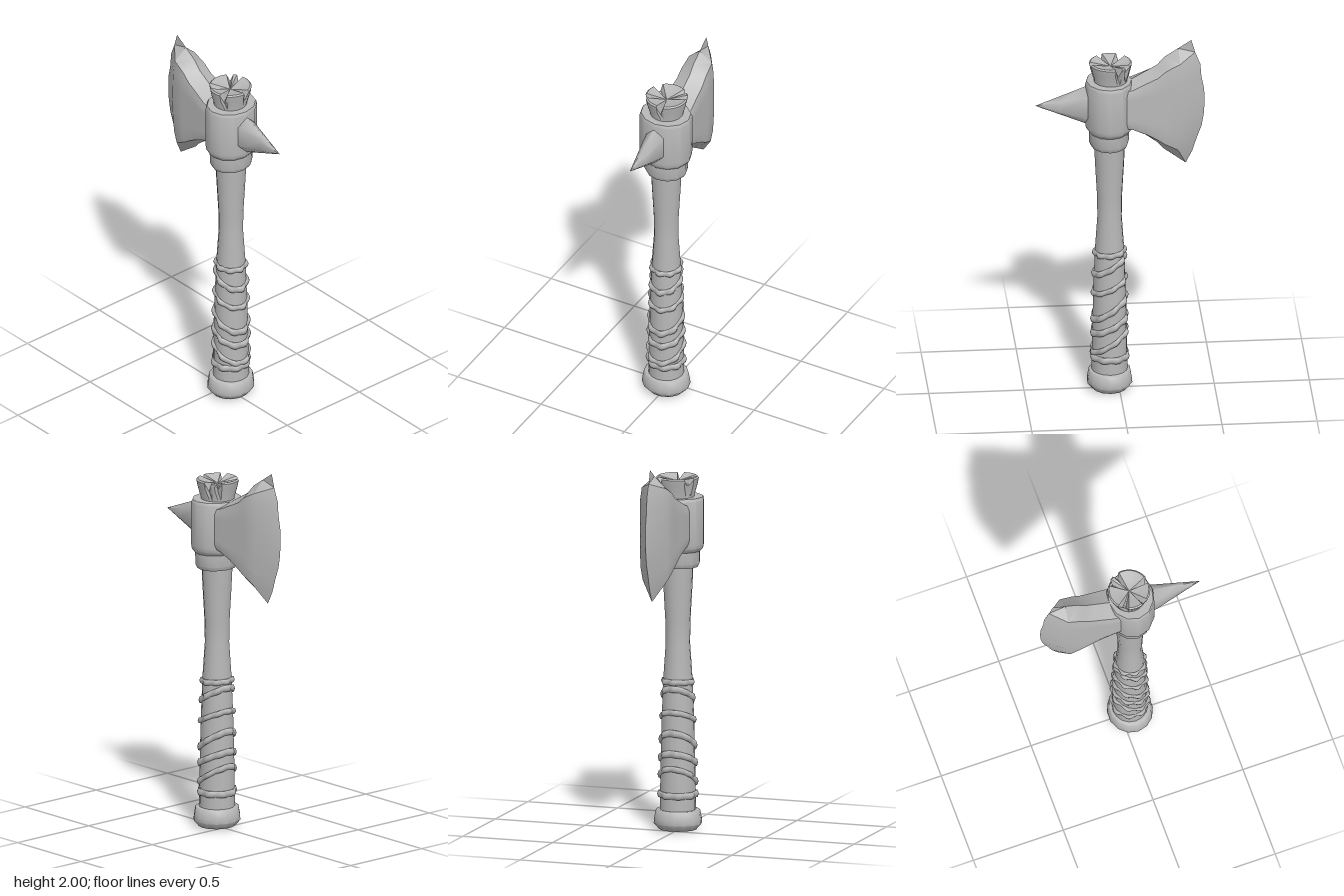
import * as THREE from 'three';
import { toCreasedNormals } from 'three/addons/utils/BufferGeometryUtils.js';

const AXIS = 0.05; // x of the shaft's centre line

// Shaft outline as [radius, height]
const SHAFT = [[0.095, 0.08], [0.092, 0.3], [0.085, 0.6], [0.076, 0.82], [0.064, 1.0], [0.066, 1.12], [0.076, 1.3], [0.082, 1.43]];

function shaftRadius(y) {
  for (let i = 1; i < SHAFT.length; i++) {
    const [r0, y0] = SHAFT[i - 1], [r1, y1] = SHAFT[i];
    if (y <= y1) return r0 + (r1 - r0) * (y - y0) / (y1 - y0);
  }
  return SHAFT[SHAFT.length - 1][0];
}

function lathe(profile, sides) {
  return new THREE.LatheGeometry(profile.map(([r, y]) => new THREE.Vector2(r, y)), sides);
}

function meshFrom(positions, indices) {
  const g = new THREE.BufferGeometry();
  g.setAttribute('position', new THREE.Float32BufferAttribute(positions, 3));
  g.setIndex(indices);
  return g;
}

// Axe blade: columns run from the socket to the cutting edge, mirrored front and back
function bladeGeometry() {
  // x at top, middle and bottom; y at top and bottom; half thickness
  const columns = [
    [0.00, 0.00, 0.00, 1.765, 1.52, 0.095],
    [-0.07, -0.07, -0.07, 1.79, 1.50, 0.094],
    [-0.14, -0.14, -0.14, 1.83, 1.46, 0.088],
    [-0.20, -0.20, -0.20, 1.865, 1.415, 0.084],
    [-0.24, -0.25, -0.23, 1.91, 1.38, 0.081],
    [-0.31, -0.33, -0.29, 1.955, 1.335, 0.075],
    [-0.38, -0.45, -0.35, 2.00, 1.29, 0],
  ];
  const rows = [-1, -0.8, -0.6, -0.4, -0.2, 0, 0.2, 0.4, 0.6, 0.8, 1];
  const nicks = { 2: 0.006, 7: 0.006, 8: -0.003, 9: 0.005 };
  const positions = [], indices = [], n = rows.length;
  for (const side of [1, -1]) {
    const start = positions.length / 3;
    columns.forEach(([xt, xm, xb, yt, yb, z], c) => {
      rows.forEach((t, r) => {
        let x = xm + ((t > 0 ? xt : xb) - xm) * t * t;
        if (c === columns.length - 1) x += nicks[r] || 0;
        const thick = z * Math.min(1, (1 - Math.abs(t)) / 0.22);
        positions.push(x, yb + (yt - yb) * (t + 1) / 2, side * thick);
      });
    });
    for (let c = 0; c < columns.length - 1; c++) {
      for (let r = 0; r < n - 1; r++) {
        const a = start + c * n + r, b = a + n, d = a + 1, e = b + 1;
        if (side > 0) indices.push(a, d, b, b, d, e);
        else indices.push(a, b, d, b, e, d);
      }
    }
  }
  return toCreasedNormals(meshFrom(positions, indices), 0.6);
}

// Leather strip: a tilted flat ring that sinks into the shaft here and there
function wrapGeometry(yLeft, yRight, height, phase) {
  const around = 48, section = 6, positions = [], indices = [];
  for (let i = 0; i < around; i++) {
    const a = i / around * Math.PI * 2;
    const y = (yLeft + yRight) / 2 + (yRight - yLeft) / 2 * Math.cos(a);
    const base = shaftRadius(y) - 0.001 + 0.006 * Math.cos(8 * a + phase);
    for (let j = 0; j < section; j++) {
      const b = j / section * Math.PI * 2;
      const r = base + 0.011 * Math.cos(b);
      positions.push(r * Math.cos(a), y + height / 2 * Math.sin(b), r * Math.sin(a));
      const k = (j + 1) % section, m = (i + 1) % around;
      const p = i * section + j, q = i * section + k, s = m * section + j, t = m * section + k;
      indices.push(p, q, s, q, t, s);
    }
  }
  const g = meshFrom(positions, indices);
  g.computeVertexNormals();
  return g;
}

// Split end of the shaft: a flared stub whose rim is notched by cracks
function stubGeometry() {
  const sides = 36;
  const g = lathe([[0.085, 1.74], [0.088, 1.79], [0.105, 1.85], [0.112, 1.885], [0.104, 1.892], [0.06, 1.88], [0, 1.865]], sides);
  const p = g.attributes.position;
  const cracks = [[1.72, 0.055], [-0.6, 0.03], [0.55, 0.05], [3.5, 0.045], [-2.2, 0.03]];
  for (let i = 0; i < p.count; i++) {
    const x = p.getX(i), y = p.getY(i), z = p.getZ(i), r = Math.hypot(x, z);
    if (y < 1.84 || r < 0.02) continue;
    const a = Math.atan2(x, z);
    for (const [angle, depth] of cracks) {
      const gap = Math.abs(Math.atan2(Math.sin(a - angle), Math.cos(a - angle)));
      if (gap > 0.1) continue;
      const s = r > 0.08 ? 0.84 : 0.95;
      p.setXYZ(i, x * s, y - depth * (y > 1.87 ? 1 : 0.4), z * s);
    }
  }
  return toCreasedNormals(g, 0.6);
}

// Side spike: long six-sided base drawn to a point
function spikeGeometry() {
  const base = [[0, 1.752], [0.05, 1.705], [0.05, 1.59], [0, 1.54], [-0.05, 1.59], [-0.05, 1.705]];
  const rings = [[0.13, 1], [0.18, 1], [0.31, 0.5], [0.44, 0.004]];
  const positions = [], indices = [];
  rings.forEach(([x, s], c) => {
    base.forEach(([z, y], j) => {
      positions.push(x, 1.65 + (y - 1.65) * s, z * s);
      if (c === rings.length - 1) return;
      const k = (j + 1) % 6, a = c * 6 + j, b = c * 6 + k;
      indices.push(a, a + 6, b, b, a + 6, b + 6);
    });
  });
  const g = meshFrom(positions, indices);
  g.computeVertexNormals();
  return g;
}

export function createModel() {
  const model = new THREE.Group();
  model.name = 'battleAxe';
  const grey = new THREE.MeshStandardMaterial({ color: 0xb8b8b8, side: THREE.DoubleSide });
  grey.name = 'plainGrey';

  function add(name, geometry, x = 0, parent = model) {
    const mesh = new THREE.Mesh(geometry, grey);
    mesh.name = name;
    mesh.position.x = x;
    parent.add(mesh);
    return mesh;
  }

  // Shaft and pommel
  add('shaft', lathe(SHAFT, 16), AXIS);
  const pommel = add('pommel', toCreasedNormals(lathe(
    [[0, 0], [0.06, 0.002], [0.097, 0.008], [0.124, 0.04], [0.122, 0.065], [0.114, 0.108], [0.108, 0.113], [0.08, 0.113]], 14), 0.8), AXIS);
  pommel.scale.set(0.97, 1, 1.04);

  // Grip strips: height at the blade side, height at the spike side, width
  const grip = new THREE.Group();
  grip.name = 'gripWrap';
  grip.position.x = AXIS;
  model.add(grip);
  const strips = [[0.8, 0.79, 0.034], [0.765, 0.67, 0.04], [0.64, 0.56, 0.034], [0.53, 0.41, 0.042], [0.42, 0.33, 0.042], [0.34, 0.22, 0.036], [0.195, 0.195, 0.04]];
  strips.forEach(([l, r, h], i) => add('gripStrip' + (i + 1), wrapGeometry(l, r, h, i * 0.5), 0, grip));

  // Socket with its lower collar
  const socket = add('socket', toCreasedNormals(lathe(
    [[0.07, 1.408], [0.108, 1.41], [0.118, 1.43], [0.12, 1.495], [0.138, 1.515], [0.142, 1.54], [0.142, 1.77], [0.135, 1.785], [0.08, 1.785]], 12), 0.6), 0.053);
  socket.scale.x = 0.88;

  add('shaftEnd', stubGeometry(), 0.045);
  add('blade', bladeGeometry());
  add('spike', spikeGeometry());
  return model;
}
